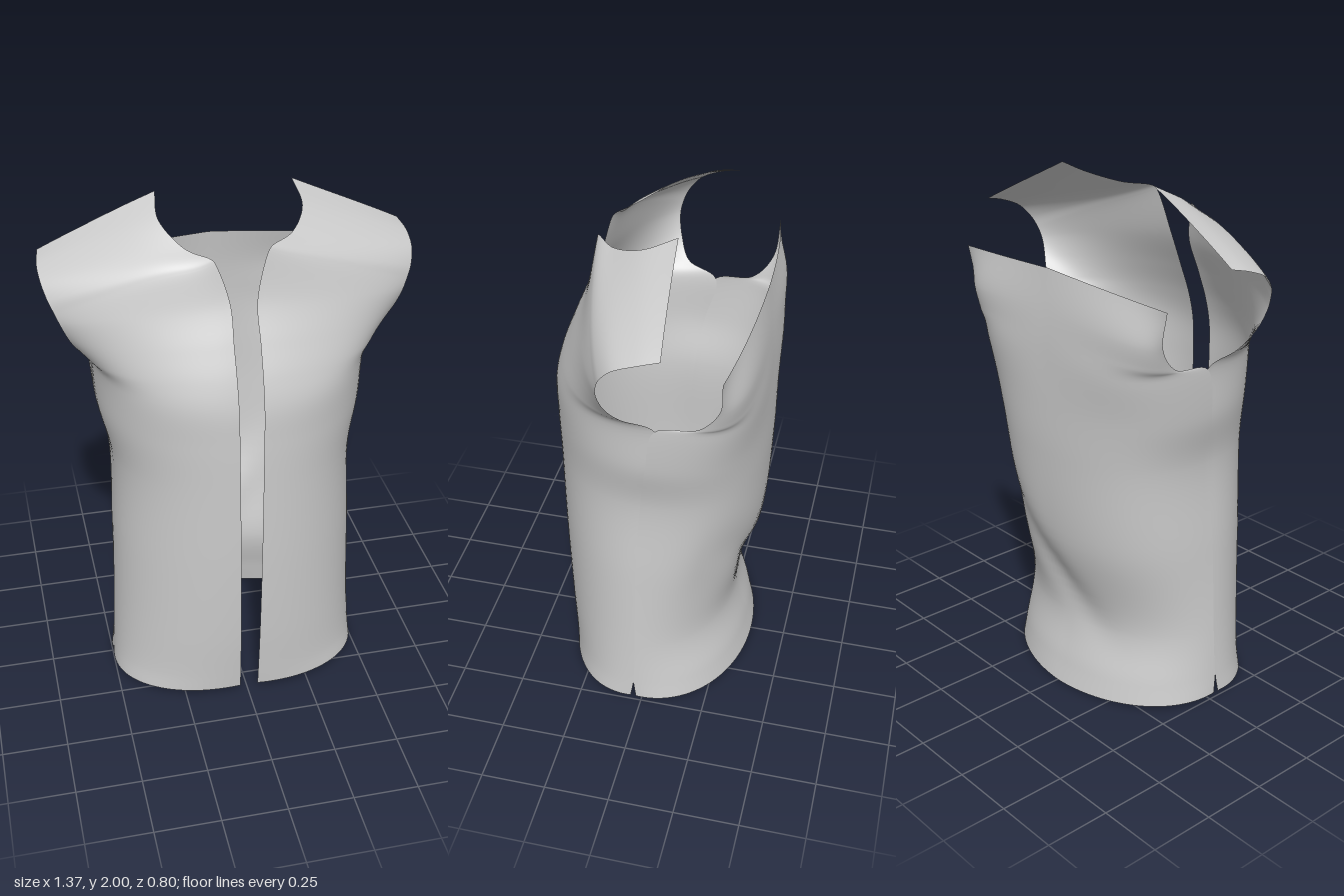
import * as THREE from 'three';

// Each row is a Bezier from the inner edge to the outer edge of a half panel:
// [inner x,y,z,  outer x,y,z,  handle1 x,z,  handle2 x,z]
const FRONT_ROWS = [
  [.04, .025, .35, .50, .02, .042, .28, .37, .515, .25],  // hem
  [.04, .10, .358, .495, .10, .03, .27, .375, .505, .24], // top of the side slit
  [.04, .30, .377, .485, .30, .025, .27, .385, .485, .235],
  [.04, .65, .395, .472, .65, .02, .27, .395, .472, .23],
  [.04, 1.0, .40, .46, 1.0, 0, .27, .40, .463, .23],
  [.04, 1.2, .40, .50, 1.2, -.03, .28, .405, .495, .23],
  [.04, 1.34, .395, .512, 1.393, -.07, .28, .40, .52, .25], // underarm
  [.04, 1.45, .37, .54, 1.445, .045, .27, .375, .515, .235],
  [.04, 1.57, .325, .59, 1.52, .085, .26, .33, .52, .21],
  [.04, 1.71, .27, .625, 1.60, .10, .26, .27, .52, .19],
  [.085, 1.875, .235, .645, 1.65, .092, .25, .22, .51, .165],
  [.10, 1.89, .225, .662, 1.69, .075, .27, .20, .515, .145], // neck corner
  [.19, 1.90, .15, .678, 1.74, .03, .34, .13, .54, .085],
  [.257, 1.945, .03, .682, 1.775, -.05, .39, .015, .55, -.02],
  [.248, 2.0, -.09, .67, 1.795, -.13, .39, -.10, .54, -.115], // shoulder seam
];
const BACK_ROWS = [
  [0, 0, -.36, .50, .02, .02, .28, -.36, .51, -.20],
  [0, .10, -.335, .495, .10, .03, .27, -.34, .49, -.20],
  [0, .30, -.295, .485, .30, .025, .23, -.30, .455, -.195], // hollow of the back
  [0, .65, -.375, .472, .65, .02, .28, -.38, .47, -.25],
  [0, 1.0, -.40, .46, 1.0, 0, .31, -.40, .48, -.29],
  [0, 1.2, -.40, .50, 1.2, -.03, .32, -.40, .515, -.335],
  [0, 1.37, -.395, .512, 1.393, -.07, .33, -.40, .54, -.395], // underarm
  [0, 1.46, -.39, .51, 1.425, -.22, .33, -.395, .515, -.385],
  [0, 1.56, -.38, .525, 1.52, -.295, .32, -.385, .49, -.385],
  [0, 1.70, -.36, .56, 1.66, -.31, .25, -.355, .42, -.335],  // upper edge
];

const material = new THREE.MeshStandardMaterial({ color: 0xcccccc, side: THREE.DoubleSide, roughness: 0.8 });

// Smooth surface through the rows: returns a point for u (inner to outer) and v (hem to top)
function halfPanel(rows) {
  const { lerp } = THREE.MathUtils;
  const lines = [
    rows.map(r => new THREE.Vector3(r[0], r[1], r[2])),
    rows.map(r => new THREE.Vector3(r[6], lerp(r[1], r[4], 1 / 3), r[7])),
    rows.map(r => new THREE.Vector3(r[8], lerp(r[1], r[4], 2 / 3), r[9])),
    rows.map(r => new THREE.Vector3(r[3], r[4], r[5])),
  ].map(points => new THREE.CatmullRomCurve3(points));
  return (u, v) => new THREE.CubicBezierCurve3(...lines.map(l => l.getPoint(v))).getPoint(u);
}

// Grid mesh over u and v in 0..1
function sheet(name, nu, nv, pointAt) {
  const positions = [], index = [];
  for (let j = 0; j <= nv; j++) {
    for (let i = 0; i <= nu; i++) {
      positions.push(...pointAt(i / nu, j / nv).toArray());
      if (i < nu && j < nv) {
        const a = j * (nu + 1) + i, b = a + 1, c = a + nu + 1, d = c + 1;
        index.push(a, b, d, a, d, c);
      }
    }
  }
  const geometry = new THREE.BufferGeometry();
  geometry.setAttribute('position', new THREE.Float32BufferAttribute(positions, 3));
  geometry.setIndex(index);
  geometry.computeVertexNormals();
  const mesh = new THREE.Mesh(geometry, material);
  mesh.name = name;
  return mesh;
}

const bump = (d, width) => Math.exp(-((d / width) ** 2));
const ROW_STEPS = 8;

export function createModel() {
  const group = new THREE.Group();
  group.name = 'sleevelessShirt';

  // Two front panels that run over the shoulders, with an open front
  const front = halfPanel(FRONT_ROWS);
  const frontSteps = (FRONT_ROWS.length - 1) * ROW_STEPS;
  group.add(sheet('leftFrontPanel', 28, frontSteps, front));
  group.add(sheet('rightFrontPanel', 28, frontSteps, (u, v) => {
    const p = front(1 - u, v);
    // This edge leans away from the centre, and its neck corner sits lower
    if (p.y < 1.95) p.x += (0.015 * p.y - 0.01) * bump(p.x - 0.04, 0.1);
    p.y -= 0.03 * bump(Math.hypot(p.x - 0.13, p.y - 1.89), 0.13);
    p.x *= -1;
    return p;
  }));

  // One back panel with a diagonal drape fold
  const back = halfPanel(BACK_ROWS);
  group.add(sheet('backPanel', 64, (BACK_ROWS.length - 1) * ROW_STEPS, (u, v) => {
    const s = 1 - 2 * u;
    const p = back(Math.abs(s), v);
    p.x *= Math.sign(s) || 1;
    const depth = THREE.MathUtils.clamp(-p.z / 0.25, 0, 1);
    const across = (p.y - 0.45 - p.x) * 0.707;
    const along = (p.y - 0.6 + p.x) * 0.707;
    p.z += depth * 0.025 * bump(across, 0.08) * bump(along, 0.3);
    // Flattened corner beside the fold
    p.z += 0.035 * depth * bump(p.x - 0.4, 0.16) * bump(p.y - 0.6, 0.22);
    return p;
  }));

  return group;
}
